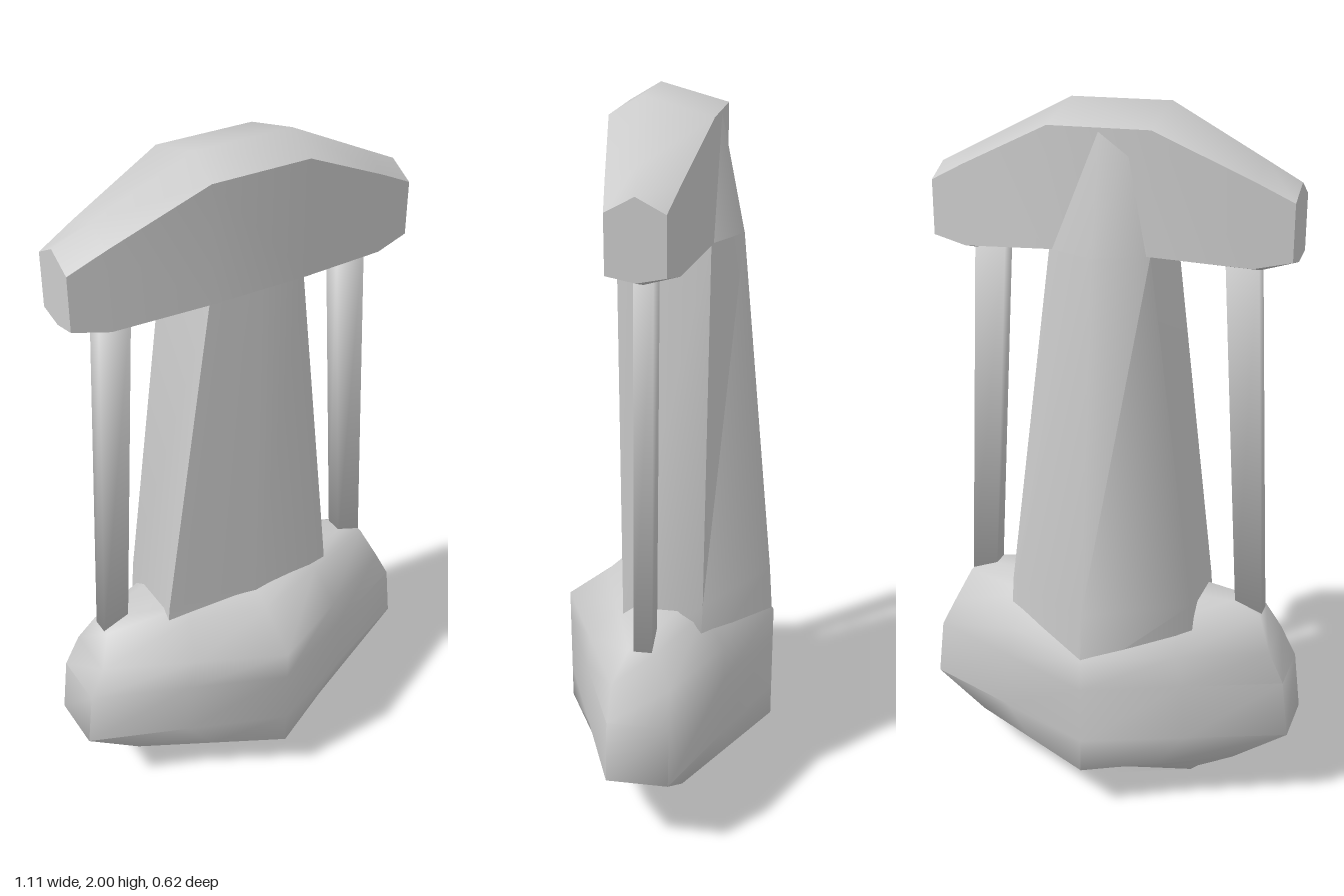
import * as THREE from 'three';
import { toCreasedNormals } from 'three/addons/utils/BufferGeometryUtils.js';

const material = new THREE.MeshStandardMaterial({ color: 0xcccccc });

// Skins a row of equal-sized rings (counter-clockwise about the sweep direction) and caps both ends
function loft(name, rings, crease = 1) {
  const n = rings[0].length, pos = rings.flat(2), index = [];
  for (let i = 0; i < rings.length - 1; i++) {
    for (let j = 0; j < n; j++) {
      const a = i * n + j, b = i * n + (j + 1) % n;
      index.push(a, b, b + n, a, b + n, a + n);
    }
  }
  [0, rings.length - 1].forEach((r, end) => {
    const c = pos.length / 3;
    for (let k = 0; k < 3; k++) pos.push(rings[r].reduce((s, p) => s + p[k], 0) / n);
    for (let j = 0; j < n; j++) {
      const a = r * n + j, b = r * n + (j + 1) % n;
      index.push(c, end ? a : b, end ? b : a);
    }
  });
  const geometry = new THREE.BufferGeometry();
  geometry.setAttribute('position', new THREE.Float32BufferAttribute(pos, 3));
  geometry.setIndex(index);
  const mesh = new THREE.Mesh(toCreasedNormals(geometry, crease), material);
  mesh.name = name;
  return mesh;
}

// Bulging base: pointed front and back, narrow flat ends
function createBase() {
  // y, half width, half depth at the ends, front ridge z, back ridge z
  const levels = [
    [0.03, 0.26, 0.05, 0.12, -0.12], [0.07, 0.29, 0.08, 0.19, -0.19],
    [0.14, 0.4, 0.1, 0.31, -0.31], [0.24, 0.555, 0.085, 0.31, -0.31],
    [0.41, 0.535, 0.085, 0.31, -0.31], [0.5, 0.49, 0.08, 0.31, -0.31],
    [0.59, 0.45, 0.04, 0.19, -0.22], [0.62, 0.37, 0.03, 0.14, -0.16],
  ];
  return loft('base', levels.map(([y, w, d, f, b]) => {
    const m = w * 0.5, mf = (f + d) / 2, mb = (b - d) / 2;
    return [[0, y, f], [m, y, mf], [w, y, d], [w, y, -d], [m, y, mb],
      [0, y, b], [-m, y, mb], [-w, y, -d], [-w, y, d], [-m, y, mf]];
  }), 1.2);
}

// Shallow keel under the base with a notch across its middle
function createKeel() {
  const stations = [[-0.26, 0.03, 0.05], [-0.04, 0, 0.1], [0, 0.025, 0.1], [0.04, 0, 0.1], [0.26, 0.03, 0.05]];
  return loft('keel', stations.map(([x, y, d]) =>
    [[x, 0.06, d], [x, y, d], [x, y, -d], [x, 0.06, -d]]), 0.6);
}

// Tapering central pillar with a ridged back
function createPillar() {
  // y, half width, front z, front corner z, back corner z, back ridge z
  const levels = [
    [0.45, 0.285, 0.15, 0.09, -0.13, -0.308], [0.64, 0.27, 0.13, 0.09, -0.135, -0.295],
    [1.63, 0.14, 0.13, 0.12, -0.13, -0.2], [1.94, 0.1, 0.1, 0.1, -0.12, -0.135],
  ];
  return loft('pillar', levels.map(([y, w, f, fc, bc, b]) =>
    [[0, y, f], [w, y, fc], [w, y, bc], [0, y, b], [-w, y, bc], [-w, y, fc]]), 1.1);
}

// Wide head, tapering toward its ends
function createHead() {
  // x, peak y, peak z, shoulder y, lower edge y, underside y, half depth
  const half = [
    [0.14, 2, 0.05, 1.95, 1.63, 1.63, 0.135],
    [0.4, 1.87, 0.015, 1.83, 1.61, 1.585, 0.092],
    [0.5, 1.82, 0, 1.78, 1.63, 1.615, 0.075],
  ];
  const stations = [...half.map(([x, ...rest]) => [-x, ...rest]).reverse(), ...half];
  return loft('head', stations.map(([x, py, pz, sy, ly, uy, d]) =>
    [[x, py, pz], [x, sy, d], [x, ly, d], [x, uy, 0], [x, ly, -d], [x, sy, -d]]), 1);
}

// Slim side strut leaning inward toward the head
function createStrut(side) {
  const levels = [[0.57, 0.375, 0.452], [1.64, 0.31, 0.4]];
  return loft(side > 0 ? 'leftStrut' : 'rightStrut', levels.map(([y, inner, outer]) => {
    const [x0, x1] = side > 0 ? [inner, outer] : [-outer, -inner];
    return [[x0, y, 0.025], [x1, y, 0.025], [x1, y, -0.025], [x0, y, -0.025]];
  }), 1.7);
}

export function createModel() {
  const group = new THREE.Group();
  group.name = 'pillarWithHeadAndBase';
  group.add(createBase(), createKeel(), createPillar(), createHead(), createStrut(1), createStrut(-1));
  return group;
}
